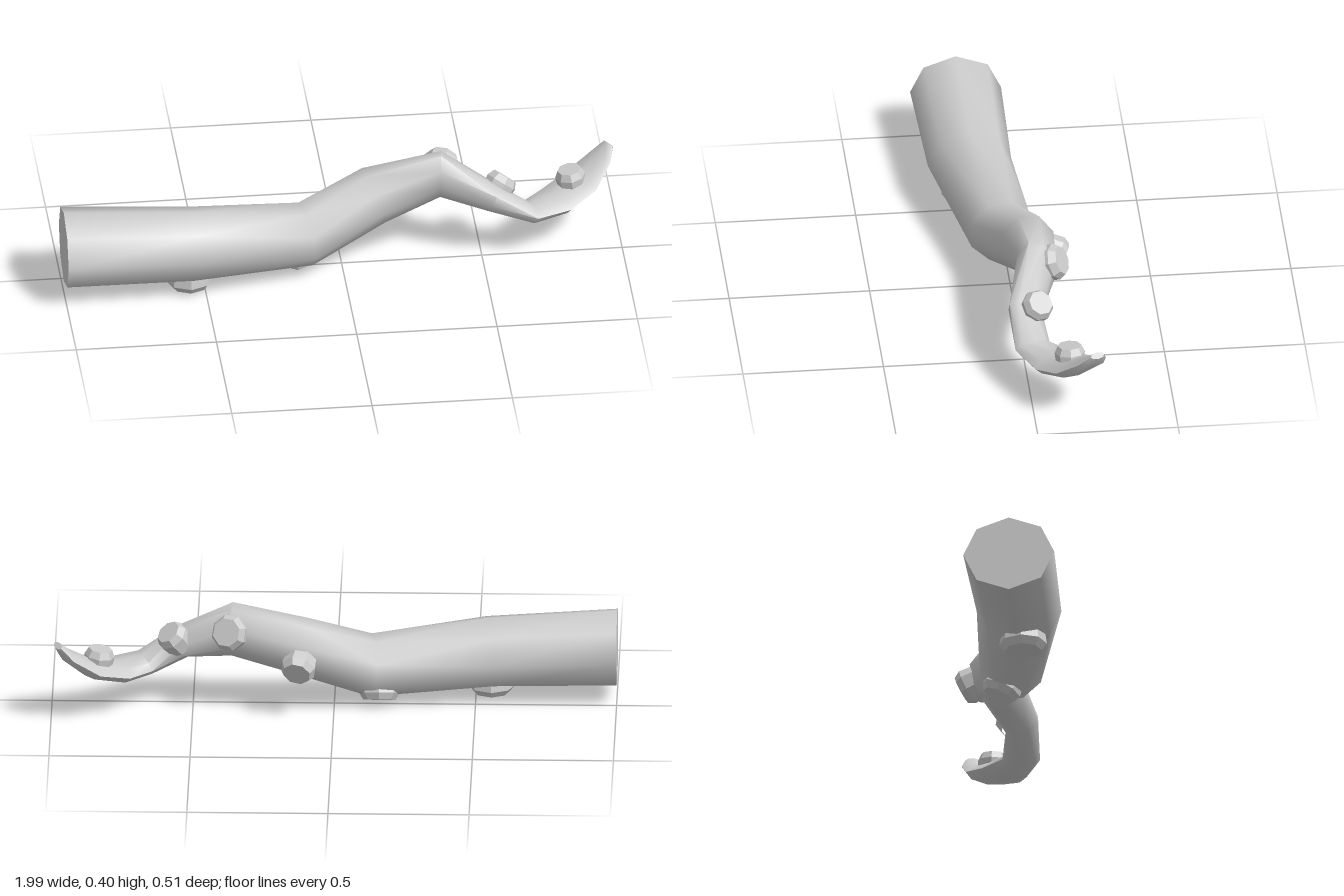
import * as THREE from 'three';
import { toCreasedNormals } from 'three/addons/utils/BufferGeometryUtils.js';

const SIDES = 8;
const grey = () => new THREE.MeshStandardMaterial({ color: 0xcccccc });

// Cross-sections: centre, sucker-side direction, half thickness, half width
const RINGS = [
  [[-1, 0.19, 0.095], [0, -1, 0], 0.14, 0.162],
  [[-0.55, 0.172, 0.09], [0, -1, 0], 0.128, 0.15],
  [[-0.13, 0.145, 0.02], [0, -0.92, -0.38], 0.112, 0.118],
  [[0.12, 0.247, -0.05], [0.2, -0.4, -0.9], 0.1, 0.105],
  [[0.36, 0.313, -0.06], [0.3, 0.3, -0.9], 0.07, 0.095],
  [[0.54, 0.238, 0], [0.5, 0.7, -0.5], 0.05, 0.066],
  [[0.67, 0.163, -0.015], [0.2, 0.95, -0.2], 0.034, 0.07],
  [[0.77, 0.162, -0.085], [-0.05, 1, 0], 0.035, 0.09],
  [[0.87, 0.2, -0.15], [-0.25, 0.95, 0.1], 0.032, 0.09],
  [[0.945, 0.265, -0.198], [-0.5, 0.8, 0.2], 0.022, 0.06],
  [[0.975, 0.308, -0.215], [-0.5, 0.8, 0.2], 0.012, 0.028],
];

// Suckers: centre of outer face, facing direction, radius
const SUCKERS = [
  [[-0.555, 0.015, 0.105], [0, -1, 0], 0.085],
  [[-0.16, 0.028, -0.02], [0, -0.915, -0.4], 0.073],
  [[0.13, 0.19, -0.178], [0.2, -0.4, -0.9], 0.064],
  [[0.38, 0.336, -0.148], [0.35, 0.4, -0.85], 0.066],
  [[0.588, 0.295, -0.052], [0.55, 0.75, -0.35], 0.058],
  [[0.825, 0.262, -0.13], [-0.15, 0.98, 0.02], 0.054],
];

// Tapering, twisting arm lofted through the cross-sections
function armGeometry() {
  const centres = RINGS.map((r) => new THREE.Vector3(...r[0]));
  const last = RINGS.length - 1;
  const pos = [];
  const index = [];
  RINGS.forEach(([, dir, thick, wide], i) => {
    const before = centres[Math.max(i - 1, 0)];
    const after = centres[Math.min(i + 1, last)];
    const t = i === 0 ? new THREE.Vector3(1, 0, 0) : after.clone().sub(before).normalize();
    const n = new THREE.Vector3(...dir);
    n.addScaledVector(t, -n.dot(t)).normalize();
    const v = t.clone().cross(n);
    for (let j = 0; j < SIDES; j++) {
      const a = (j / SIDES) * Math.PI * 2;
      const p = centres[i].clone();
      p.addScaledVector(n, Math.cos(a) * thick).addScaledVector(v, Math.sin(a) * wide);
      pos.push(p.x, p.y, p.z);
    }
  });
  const base = pos.length / 3;
  pos.push(...centres[0].toArray(), ...centres[last].toArray());
  for (let j = 0; j < SIDES; j++) {
    const k = (j + 1) % SIDES;
    for (let i = 0; i < last; i++) {
      const a = i * SIDES + j;
      const b = i * SIDES + k;
      index.push(a, b, a + SIDES, b, b + SIDES, a + SIDES);
    }
    // End caps
    index.push(base, k, j);
    index.push(base + 1, last * SIDES + j, last * SIDES + k);
  }
  const geo = new THREE.BufferGeometry();
  geo.setAttribute('position', new THREE.Float32BufferAttribute(pos, 3));
  geo.setIndex(index);
  return toCreasedNormals(geo, 0.95);
}

// Faceted disc with a bevelled outer rim, outer face at the local origin
function suckerGeometry(r) {
  const profile = [[r * 0.9, -0.08], [r, -0.025], [r * 0.78, 0], [0, 0]];
  const geo = new THREE.LatheGeometry(profile.map((p) => new THREE.Vector2(...p)), SIDES);
  return toCreasedNormals(geo, 0.5);
}

export function createModel() {
  const model = new THREE.Group();
  model.name = 'tentacle';

  const arm = new THREE.Mesh(armGeometry(), grey());
  arm.name = 'arm';
  model.add(arm);

  const suckers = new THREE.Group();
  suckers.name = 'suckers';
  const up = new THREE.Vector3(0, 1, 0);
  SUCKERS.forEach(([at, dir, r], i) => {
    const sucker = new THREE.Mesh(suckerGeometry(r), grey());
    sucker.name = `sucker${i + 1}`;
    sucker.position.set(...at);
    sucker.quaternion.setFromUnitVectors(up, new THREE.Vector3(...dir).normalize());
    suckers.add(sucker);
  });
  model.add(suckers);
  return model;
}
